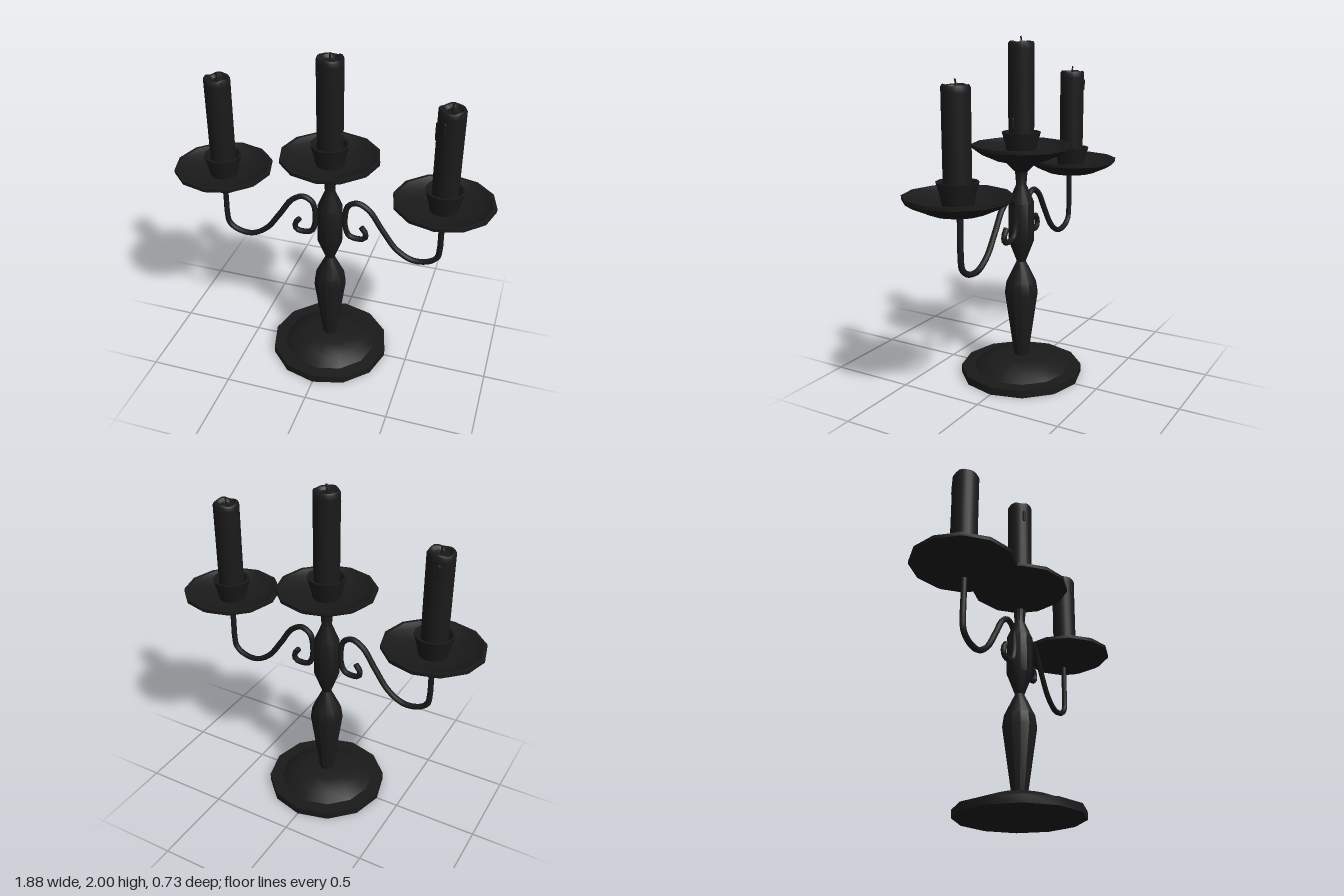
import * as THREE from 'three';
import { toCreasedNormals } from 'three/addons/utils/BufferGeometryUtils.js';

const material = new THREE.MeshStandardMaterial({ color: 0x1a1a1a });

function addMesh(parent, name, geometry) {
  const mesh = new THREE.Mesh(geometry, material);
  mesh.name = name;
  parent.add(mesh);
  return mesh;
}

// Turned part from [radius, height] pairs, listed from the bottom up
function turned(profile, sides = 12, crease = 0.6) {
  const points = profile.map(([r, y]) => new THREE.Vector2(r, y));
  return toCreasedNormals(new THREE.LatheGeometry(points, sides), crease);
}

// Candle with a softly uneven, hollowed top
function candleGeometry(height, phase) {
  const points = [
    [0, 0], [0.074, 0], [0.075, height - 0.04], [0.075, height - 0.014], [0.068, height - 0.003],
    [0.056, height - 0.006], [0.045, height - 0.022], [0, height - 0.026],
  ].map(([r, y]) => new THREE.Vector2(r, y));
  const geometry = new THREE.LatheGeometry(points, 20);
  const p = geometry.attributes.position;
  for (let i = 0; i < p.count; i++) {
    const y = p.getY(i);
    if (y < height - 0.03) continue;
    const a = Math.atan2(p.getX(i), p.getZ(i)) + phase;
    p.setY(i, y + 0.004 * Math.sin(3 * a) + 0.003 * Math.sin(5 * a + 1));
  }
  return toCreasedNormals(geometry, 0.7);
}

// Drip dish, cup, candle and wick; y = 0 is the underside of the dish
function candleHolder(name, candleTop, phase, drips) {
  const holder = new THREE.Group();
  holder.name = name;
  addMesh(holder, 'dripDish', turned([
    [0, 0], [0.15, 0], [0.25, 0.045], [0.287, 0.07], [0.287, 0.09],
    [0.268, 0.09], [0.235, 0.065], [0.14, 0.035], [0, 0.035],
  ]));
  addMesh(holder, 'candleCup', turned([
    [0.08, 0.03], [0.092, 0.09], [0.112, 0.16], [0.098, 0.16], [0.08, 0.11], [0, 0.11],
  ]));
  addMesh(holder, 'candle', candleGeometry(candleTop - 0.1, phase)).position.y = 0.1;

  // Wick with a slight bend
  const wick = new THREE.CatmullRomCurve3([
    new THREE.Vector3(0, candleTop - 0.03, 0),
    new THREE.Vector3(0, candleTop + 0.008, 0),
    new THREE.Vector3(0.004, candleTop + 0.027, 0.002),
  ]);
  addMesh(holder, 'wick', new THREE.TubeGeometry(wick, 5, 0.005, 6));

  // Wax runs down the candle side
  for (const [angle, y, length] of drips) {
    const drip = addMesh(holder, 'waxDrip', new THREE.CapsuleGeometry(0.01, length, 3, 6));
    drip.position.set(0.071 * Math.cos(angle), y, 0.071 * Math.sin(angle));
  }
  return holder;
}

// Scrolled arm reaching towards +x
function armGroup(name) {
  const arm = new THREE.Group();
  arm.name = name;
  const path = new THREE.CatmullRomCurve3([
    [0.187, 0.945], [0.214, 0.905], [0.208, 0.87], [0.165, 0.86], [0.115, 0.872], [0.092, 0.92],
    [0.088, 1.0], [0.105, 1.075], [0.16, 1.105], [0.23, 1.07], [0.31, 0.955], [0.4, 0.835],
    [0.5, 0.778], [0.595, 0.79], [0.643, 0.83], [0.653, 0.89], [0.653, 1.0], [0.653, 1.125],
  ].map(([x, y]) => new THREE.Vector3(x, y, -0.01)));
  addMesh(arm, 'scrollTube', new THREE.TubeGeometry(path, 72, 0.017, 8));

  // Flat ends closing the tube
  for (const t of [0, 1]) {
    const cap = addMesh(arm, 'tubeEnd', new THREE.CircleGeometry(0.017, 8));
    const outward = path.getTangentAt(t).multiplyScalar(t ? 1 : -1);
    cap.position.copy(path.getPointAt(t));
    cap.quaternion.setFromUnitVectors(new THREE.Vector3(0, 0, 1), outward);
  }
  return arm;
}

export function createModel() {
  const model = new THREE.Group();
  model.name = 'candelabra';

  // Stepped foot
  addMesh(model, 'base', turned([
    [0, 0], [0.363, 0], [0.363, 0.045], [0.285, 0.045], [0.22, 0.095], [0.14, 0.12], [0, 0.12],
  ]));

  // Double baluster stem flaring out under the centre dish
  addMesh(model, 'stem', turned([
    [0.042, 0.11], [0.098, 0.51], [0.088, 0.58], [0.027, 0.705], [0.075, 0.83],
    [0.075, 1.06], [0.03, 1.165], [0.036, 1.24], [0.11, 1.312],
  ], 12, 0.5));

  // Centre holder
  const centre = candleHolder('centreHolder', 0.665, 0.4, [[0.2, 0.21, 0.05], [2.3, 0.56, 0.06]]);
  centre.position.y = 1.31;
  model.add(centre);

  // Arms and outer holders, each a half turn from the other
  for (const [side, turn, drips] of [
    ['left', 0, [[Math.PI, 0.5, 0.09], [1.9, 0.55, 0.05]]],
    ['right', Math.PI, [[1.3, 0.56, 0.05]]],
  ]) {
    const arm = armGroup(side + 'Arm');
    arm.rotation.y = turn;
    const holder = candleHolder(side + 'Holder', 0.645, 1.7 + turn, drips);
    holder.position.set(0.655, 1.135, 0);
    arm.add(holder);
    model.add(arm);
  }
  return model;
}
